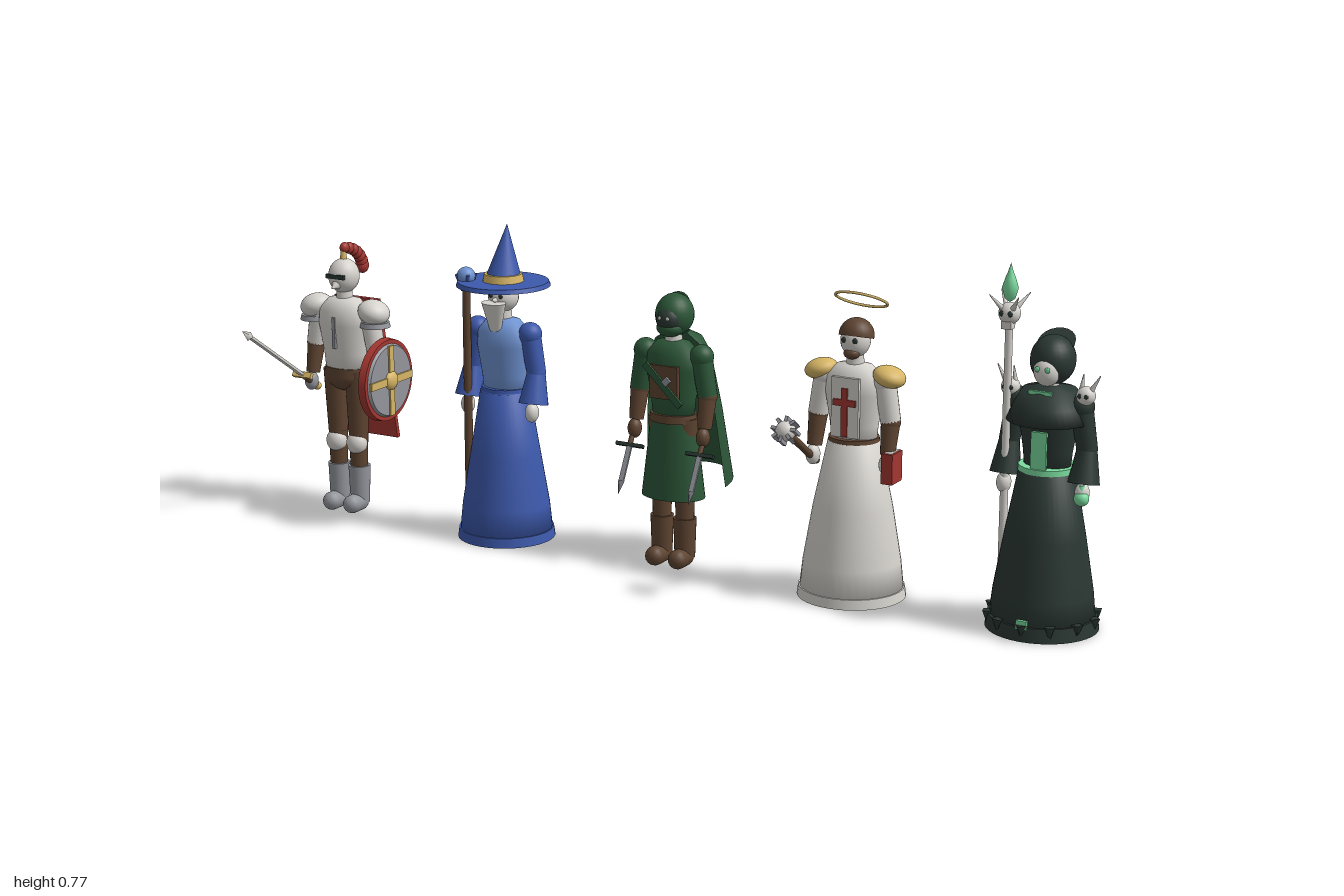
import * as THREE from 'three';

const mat = (name, color, side = THREE.FrontSide) => {
  const m = new THREE.MeshStandardMaterial({ color, side });
  m.name = name;
  return m;
};
const M = {
  steel: mat('steel', 0x92959b), bone: mat('bone white', 0xd6d3ce), red: mat('red', 0xa33630),
  gold: mat('gold', 0xd6b565), brown: mat('leather brown', 0x5e4431), blue: mat('blue', 0x3c59ac),
  sky: mat('light blue', 0x6f93d2), green: mat('forest green', 0x2c5638, THREE.DoubleSide),
  dark: mat('blackish green', 0x2a3733), mint: mat('mint glow', 0x7bdc9f),
};
const V = (x, y, z) => new THREE.Vector3(x, y, z);

function add(g, name, geo, m, p = [0, 0, 0], r = [0, 0, 0], s = [1, 1, 1]) {
  const mesh = new THREE.Mesh(geo, m);
  mesh.name = name;
  mesh.position.set(...p);
  mesh.rotation.set(...r);
  mesh.scale.set(...s);
  g.add(mesh);
  return mesh;
}
const ball = (r) => new THREE.SphereGeometry(r, 24, 16);
const cyl = (top, bottom, h, n = 24) => new THREE.CylinderGeometry(top, bottom, h, n);
const box = (x, y, z) => new THREE.BoxGeometry(x, y, z);
const lathe = (pts, start = 0, sweep = Math.PI * 2) =>
  new THREE.LatheGeometry(pts.map(([x, y]) => new THREE.Vector2(x, y)), 40, start, sweep);

// Tapered limb between two points
function limb(g, name, m, a, b, ra, rb) {
  const from = V(...a), to = V(...b), dir = to.clone().sub(from);
  const mesh = add(g, name, cyl(rb, ra, dir.length(), 18), m, from.clone().add(to).multiplyScalar(0.5).toArray());
  mesh.quaternion.setFromUnitVectors(V(0, 1, 0), dir.normalize());
  return mesh;
}
function figure(parent, name, i) {
  const g = new THREE.Group();
  g.name = name;
  g.position.set(-0.888 + 0.44 * i, 0, -0.058);
  parent.add(g);
  return g;
}
function sub(parent, name, p, rx = 0) {
  const g = new THREE.Group();
  g.name = name;
  g.position.set(...p);
  g.rotation.x = rx;
  parent.add(g);
  return g;
}
// Floor length robe with a hem ring
function robe(g, m, hem, r, waist) {
  add(g, 'robeSkirt', lathe([[0, 0.003], [r - 0.004, 0.003], [r - 0.012, 0.08], [r - 0.032, 0.2], [waist, 0.345], [0, 0.345]]), m);
  add(g, 'hem', cyl(r - 0.003, r, 0.022, 40), hem, [0, 0.011, 0]);
}
function torso(g, m, w, d) {
  add(g, 'torso', lathe([[0, 0.33], [0.75, 0.33], [0.82, 0.38], [1, 0.45], [0.95, 0.485], [0.6, 0.51], [0, 0.518]]), m, [0, 0, 0], [0, 0, 0], [w, 1, d]);
  add(g, 'neck', cyl(0.017, 0.02, 0.04), M.bone, [0, 0.525, 0]);
}
function arms(g, upper, lower, hand, flare = 0) {
  for (const s of [-1, 1]) {
    add(g, 'shoulder', ball(0.027), upper, [s * 0.07, 0.482, 0]);
    limb(g, 'upperArm', upper, [s * 0.07, 0.482, 0], [s * 0.085, 0.395, 0], 0.024, 0.022);
    add(g, 'elbow', ball(0.022), lower, [s * 0.085, 0.395, 0]);
    limb(g, 'forearm', lower, [s * 0.085, 0.395, 0], [s * 0.086, 0.325, 0.015], 0.021, flare || 0.016);
    add(g, 'hand', ball(0.018), hand, [s * 0.086, 0.306, 0.022], [0, 0, 0], [0.85, 1.25, 1]);
  }
}
function eyes(g, m, y, z, r = 0.007, gap = 0.013) {
  for (const s of [-1, 1]) add(g, 'eye', ball(r), m, [s * gap, y, z], [0, 0, 0], [1, 1, 0.5]);
}
function legs(g, boot, bootTop) {
  for (const s of [-1, 1]) {
    limb(g, 'thigh', M.brown, [s * 0.029, 0.19, 0], [s * 0.03, 0.34, 0], 0.023, 0.03);
    limb(g, 'shin', M.brown, [s * 0.029, 0.08, 0], [s * 0.029, 0.19, 0], 0.02, 0.023);
    add(g, 'boot', cyl(0.026, 0.023, bootTop - 0.02), boot, [s * 0.029, bootTop / 2 + 0.01, 0]);
    add(g, 'foot', new THREE.CapsuleGeometry(0.022, 0.03, 6, 14), boot, [s * 0.029, 0.021, 0.018], [Math.PI / 2, 0, 0]);
  }
}

function knight(root) {
  const g = figure(root, 'knight', 0);
  legs(g, M.steel, 0.11);
  for (const s of [-1, 1]) {
    add(g, 'kneeGuard', ball(0.025), M.bone, [s * 0.029, 0.165, 0.008], [0, 0, 0], [1, 1.1, 0.9]);
    add(g, 'shoulderPlate', ball(0.038), M.bone, [s * 0.082, 0.485, 0], [0, 0, s * -0.3], [1, 0.75, 1]);
    add(g, 'shoulderRim', cyl(0.033, 0.036, 0.012), M.steel, [s * 0.085, 0.457, 0]);
  }
  add(g, 'hips', ball(0.055), M.brown, [0, 0.325, 0], [0, 0, 0], [1, 0.65, 0.72]);
  torso(g, M.bone, 0.068, 0.047);
  add(g, 'breastRidge', box(0.008, 0.075, 0.008), M.steel, [0, 0.435, 0.045]);
  add(g, 'belt', cyl(0.054, 0.055, 0.02), M.brown, [0, 0.338, 0], [0, 0, 0], [1, 1, 0.74]);
  arms(g, M.bone, M.brown, M.steel);
  // Helmet and plume
  add(g, 'helmet', ball(0.038), M.bone, [0, 0.564, 0], [0, 0, 0], [0.95, 1.08, 1]);
  add(g, 'visor', box(0.05, 0.01, 0.008), M.dark, [0, 0.567, 0.035]);
  add(g, 'noseGuard', new THREE.ConeGeometry(0.018, 0.03, 12), M.bone, [0, 0.546, 0.036], [1.9, 0, 0]);
  for (let i = 0; i < 7; i++) {
    const a = 1.75 + i * 0.22;
    add(g, 'plume', ball(0.013 + 0.0008 * i), M.red, [0, 0.57 + 0.06 * Math.sin(a), 0.01 + 0.085 * Math.cos(a)], [0, 0, 0], [0.8, 1, 1]);
  }
  add(g, 'plumeHolder', cyl(0.006, 0.009, 0.025), M.gold, [0, 0.61, 0]);
  // Cape
  const shape = new THREE.Shape([[-0.062, 0.17], [0.062, 0.17], [0.09, -0.168], [-0.09, -0.168]].reverse().map(p => new THREE.Vector2(...p)));
  const cape = sub(g, 'cape', [0, 0.335, -0.07], 0.08);
  add(cape, 'capeCloth', new THREE.ExtrudeGeometry(shape, { depth: 0.01, bevelEnabled: false }), M.red);
  for (const s of [-1, 0, 1]) add(cape, 'capeFold', cyl(0.004, 0.007, 0.31, 10), M.red, [s * 0.045, -0.005, 0], [0, 0, s * 0.06]);
  // Sword
  const sword = sub(g, 'sword', [-0.082, 0.31, 0.035], 0.977);
  add(sword, 'grip', cyl(0.007, 0.007, 0.06), M.brown);
  add(sword, 'pommel', ball(0.01), M.gold, [0, -0.035, 0]);
  add(sword, 'guard', box(0.052, 0.01, 0.014), M.gold, [0, 0.033, 0]);
  add(sword, 'blade', box(0.013, 0.235, 0.006), M.bone, [0, 0.155, 0]);
  add(sword, 'bladeTip', new THREE.ConeGeometry(0.011, 0.032, 4), M.bone, [0, 0.286, 0]);
  // Shield
  const shield = sub(g, 'shield', [0.118, 0.33, 0.01]);
  const q = [0, 0, -Math.PI / 2];
  add(shield, 'shieldRim', cyl(0.096, 0.098, 0.018, 40), M.red, [0, 0, 0], q);
  add(shield, 'shieldFace', cyl(0.082, 0.088, 0.008, 40), M.steel, [0.011, 0, 0], q);
  add(shield, 'crossBar', box(0.006, 0.166, 0.018), M.gold, [0.016, 0, 0]);
  add(shield, 'crossBar', box(0.006, 0.018, 0.166), M.gold, [0.016, 0, 0]);
  add(shield, 'boss', ball(0.023), M.gold, [0.014, 0, 0], [0, 0, 0], [0.6, 1, 1]);
  add(shield, 'armStrap', box(0.02, 0.02, 0.06), M.brown, [-0.014, 0, 0]);
}

function wizard(root) {
  const g = figure(root, 'wizard', 1);
  robe(g, M.blue, M.blue, 0.112, 0.056);
  torso(g, M.sky, 0.066, 0.048);
  add(g, 'belt', cyl(0.054, 0.056, 0.018), M.blue, [0, 0.345, 0], [0, 0, 0], [1, 1, 0.9]);
  arms(g, M.blue, M.blue, M.bone, 0.034);
  add(g, 'head', ball(0.035), M.bone, [0, 0.562, 0]);
  eyes(g, M.dark, 0.568, 0.033, 0.005);
  add(g, 'nose', new THREE.ConeGeometry(0.008, 0.02, 10), M.bone, [0, 0.56, 0.04], [1.4, 0, 0]);
  add(g, 'beard', new THREE.ConeGeometry(0.031, 0.12, 20), M.bone, [0, 0.495, 0.036], [Math.PI + 0.1, 0, 0], [1, 1, 0.6]);
  // Hat
  add(g, 'hatBrim', cyl(0.103, 0.107, 0.01, 40), M.blue, [0, 0.593, 0]);
  add(g, 'hatBand', cyl(0.043, 0.047, 0.018), M.gold, [0, 0.606, 0]);
  add(g, 'hatCone', new THREE.ConeGeometry(0.044, 0.13, 28), M.blue, [0, 0.661, -0.01], [-0.14, 0, 0]);
  // Staff
  add(g, 'staff', cyl(0.009, 0.01, 0.58), M.brown, [-0.077, 0.29, 0.035]);
  add(g, 'staffOrb', ball(0.021), M.sky, [-0.077, 0.607, 0.035]);
  for (let i = 0; i < 4; i++) {
    const a = i * Math.PI / 2 + 0.78, x = Math.sin(a), z = Math.cos(a);
    limb(g, 'staffClaw', M.blue, [-0.077 + 0.006 * x, 0.575, 0.035 + 0.006 * z], [-0.077 + 0.022 * x, 0.612, 0.035 + 0.022 * z], 0.006, 0.004);
  }
}

function ranger(root) {
  const g = figure(root, 'ranger', 2);
  legs(g, M.brown, 0.11);
  add(g, 'tunicSkirt', cyl(0.052, 0.075, 0.19, 32), M.green, [0, 0.253, 0], [0, 0, 0], [1, 1, 0.72]);
  torso(g, M.green, 0.064, 0.046);
  add(g, 'belt', cyl(0.054, 0.056, 0.018), M.brown, [0, 0.34, 0], [0, 0, 0], [1, 1, 0.8]);
  add(g, 'chestLeather', box(0.07, 0.075, 0.012), M.brown, [0, 0.425, 0.042]);
  add(g, 'chestStrap', box(0.015, 0.125, 0.007), M.green, [0, 0.42, 0.05], [0, 0, 0.8]);
  add(g, 'buckle', box(0.017, 0.015, 0.006), M.steel, [0.012, 0.43, 0.055], [0, 0, 0.8]);
  arms(g, M.green, M.brown, M.brown);
  // Hood and cape
  add(g, 'hood', ball(0.045), M.green, [0, 0.568, -0.005], [0, 0, 0], [0.95, 1.06, 1]);
  add(g, 'hoodPoint', new THREE.ConeGeometry(0.034, 0.06, 20), M.green, [0, 0.572, -0.04], [-2, 0, 0]);
  add(g, 'face', ball(0.03), M.dark, [0, 0.562, 0.018]);
  eyes(g, M.bone, 0.568, 0.046, 0.004, 0.01);
  add(g, 'mask', ball(0.03), M.green, [0, 0.543, 0.016], [0, 0, 0], [1, 0.7, 1]);
  add(g, 'cape', lathe([[0.1, -0.17], [0.086, 0], [0.07, 0.13], [0.055, 0.165], [0.025, 0.185]], Math.PI * 0.46, Math.PI * 1.08), M.green, [0, 0.345, -0.045], [0.15, 0, 0]);
  // Paired daggers
  for (const s of [-1, 1]) {
    const d = sub(g, 'dagger', [s * 0.088, 0.295, 0.028], 2.66);
    add(d, 'grip', cyl(0.006, 0.006, 0.05), M.brown);
    add(d, 'guard', box(0.068, 0.008, 0.01), M.dark, [0, 0.027, 0]);
    add(d, 'blade', box(0.012, 0.08, 0.005), M.steel, [0, 0.07, 0]);
    add(d, 'bladeTip', new THREE.ConeGeometry(0.008, 0.03, 4), M.steel, [0, 0.125, 0]);
  }
}

function cleric(root) {
  const g = figure(root, 'cleric', 3);
  robe(g, M.bone, M.bone, 0.118, 0.056);
  torso(g, M.bone, 0.066, 0.048);
  add(g, 'belt', cyl(0.055, 0.057, 0.018), M.brown, [0, 0.345, 0], [0, 0, 0], [1, 1, 0.95]);
  add(g, 'tabard', box(0.064, 0.13, 0.008), M.bone, [0, 0.425, 0.045]);
  add(g, 'chestCross', box(0.014, 0.105, 0.006), M.red, [0, 0.415, 0.05]);
  add(g, 'chestCross', box(0.052, 0.014, 0.006), M.red, [0, 0.436, 0.05]);
  arms(g, M.bone, M.brown, M.bone);
  for (const s of [-1, 1]) {
    add(g, 'shoulderPlate', ball(0.036), M.gold, [s * 0.08, 0.492, 0], [0, 0, s * -0.25], [1, 0.62, 1]);
  }
  // Head with cropped hair and halo
  add(g, 'head', ball(0.034), M.bone, [0, 0.563, 0], [0, 0, 0], [0.95, 1.1, 1]);
  add(g, 'hair', new THREE.SphereGeometry(0.038, 24, 12, 0, Math.PI * 2, 0, Math.PI * 0.53), M.brown, [0, 0.572, -0.004], [-0.25, 0, 0]);
  eyes(g, M.dark, 0.567, 0.031, 0.006);
  add(g, 'chin', ball(0.018), M.brown, [0, 0.537, 0.018], [0, 0, 0], [1, 0.7, 0.9]);
  add(g, 'halo', new THREE.TorusGeometry(0.056, 0.003, 8, 48), M.gold, [0, 0.645, -0.025], [Math.PI / 2 - 0.46, 0, 0]).rotation.x = -Math.PI / 2 - 0.46;
  // Holy book
  add(g, 'book', box(0.026, 0.066, 0.05), M.red, [0.098, 0.302, 0.02]);
  add(g, 'bookPages', box(0.017, 0.068, 0.044), M.bone, [0.098, 0.302, 0.018]);
  // Mace
  const mace = sub(g, 'mace', [-0.086, 0.31, 0.038], 0.977);
  add(mace, 'maceHandle', cyl(0.008, 0.008, 0.17), M.brown, [0, 0.045, 0]);
  add(mace, 'maceHead', ball(0.022), M.bone, [0, 0.139, 0]);
  for (let i = 0; i < 4; i++) add(mace, 'maceFlange', box(0.058, 0.028, 0.007), M.steel, [0, 0.139, 0], [0, i * Math.PI / 4, 0]);
}

function necromancer(root) {
  const g = figure(root, 'necromancer', 4);
  robe(g, M.dark, M.dark, 0.117, 0.058);
  add(g, 'hemBand', cyl(0.115, 0.119, 0.03, 40), M.dark, [0, 0.016, 0]);
  for (let i = 0; i < 12; i++) {
    const a = i * Math.PI / 6;
    add(g, 'hemSpike', new THREE.ConeGeometry(0.014, 0.032, 4), M.dark, [0.114 * Math.sin(a), 0.02, 0.114 * Math.cos(a)], [Math.PI, a, 0]);
  }
  add(g, 'hemGem', box(0.024, 0.018, 0.008), M.mint, [0, 0.036, 0.113]);
  torso(g, M.dark, 0.064, 0.047);
  add(g, 'belt', cyl(0.06, 0.061, 0.012), M.mint, [0, 0.346, 0]);
  add(g, 'sash', box(0.034, 0.085, 0.007), M.mint, [0, 0.388, 0.05]);
  arms(g, M.dark, M.dark, M.bone, 0.033);
  add(g, 'mantle', lathe([[0, 0.447], [0.088, 0.447], [0.074, 0.48], [0.056, 0.512], [0, 0.525]]), M.dark);
  for (const s of [-1, 1]) {
    const p = sub(g, 'shoulderSkull', [s * 0.082, 0.508, 0.01]);
    add(p, 'skull', ball(0.02), M.bone);
    eyes(p, M.dark, 0.002, 0.018, 0.005, 0.007);
    for (const t of [-1, 1]) limb(p, 'skullSpike', M.bone, [t * 0.01, 0.01, 0], [t * 0.018 + s * 0.012, 0.045, 0], 0.006, 0.001);
  }
  // Hood and skull face
  add(g, 'hood', ball(0.052), M.dark, [0, 0.57, -0.012], [0, 0, 0], [0.9, 1, 1]);
  add(g, 'hoodPoint', new THREE.ConeGeometry(0.04, 0.1, 20), M.dark, [0, 0.563, -0.055], [-2.55, 0, 0]);
  add(g, 'face', ball(0.031), M.bone, [0, 0.553, 0.018], [0, 0, 0], [0.9, 1.05, 1]);
  eyes(g, M.mint, 0.56, 0.046, 0.006, 0.011);
  add(g, 'collarGem', box(0.05, 0.008, 0.008), M.mint, [0, 0.513, 0.052]);
  // Hanging orb
  add(g, 'orb', ball(0.016), M.mint, [0.088, 0.297, 0.03]);
  add(g, 'orbCap', cyl(0.005, 0.009, 0.014), M.mint, [0.088, 0.318, 0.03]);
  // Skull staff
  const st = sub(g, 'skullStaff', [-0.083, 0, 0.026]);
  add(st, 'staffPole', cyl(0.008, 0.009, 0.645), M.bone, [0, 0.3225, 0]);
  add(st, 'staffSkull', ball(0.023), M.bone, [0, 0.665, 0]);
  add(st, 'staffJaw', box(0.022, 0.016, 0.022), M.bone, [0, 0.642, 0.006]);
  eyes(st, M.dark, 0.667, 0.02, 0.006, 0.009);
  for (let i = 0; i < 4; i++) {
    const a = i * Math.PI / 2 + 0.78, x = Math.sin(a), z = Math.cos(a);
    limb(st, 'staffHorn', M.bone, [0.015 * x, 0.675, 0.015 * z], [0.045 * x, 0.706, 0.045 * z], 0.006, 0.001);
  }
  add(st, 'staffFlame', lathe([[0, 0.688], [0.011, 0.696], [0.017, 0.718], [0.011, 0.738], [0.006, 0.75], [0, 0.77]]), M.mint);
}

export function createModel() {
  const root = new THREE.Group();
  root.name = 'adventurers';
  for (const build of [knight, wizard, ranger, cleric, necromancer]) build(root);
  return root;
}
